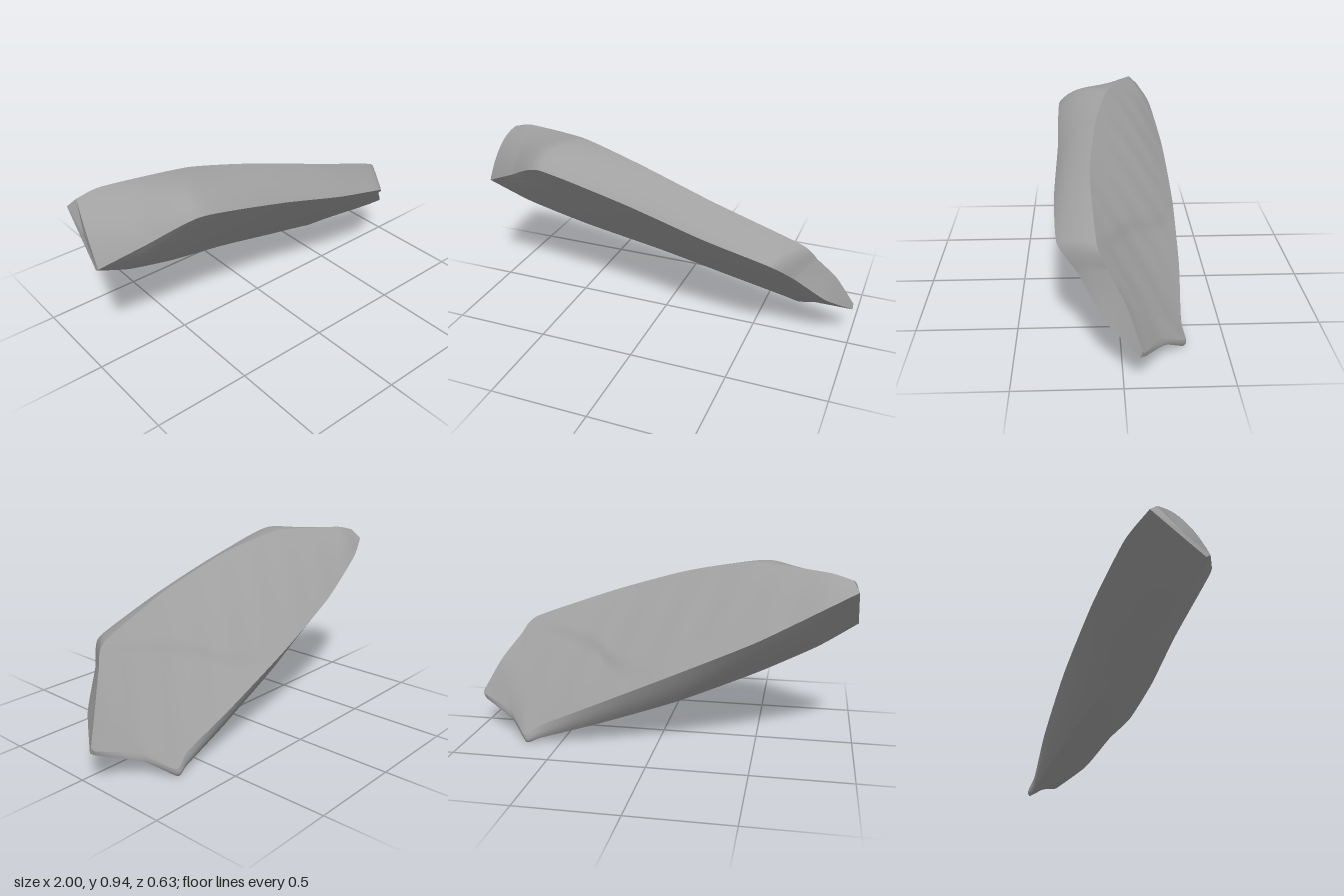
import * as THREE from 'three';
import { ParametricGeometry } from 'three/addons/geometries/ParametricGeometry.js';

// Long edges of the stone shard, each running from the -x end to the +x end.
const rail = (...pts) =>
  new THREE.CatmullRomCurve3(pts.map(p => new THREE.Vector3(...p)), false, 'catmullrom', 0.3);

const frontEdge = rail([-1, .645, .1], [-.8, .745, .2], [-.57, .845, .3], [-.1, .735, .3], [.3, .625, .31],
  [.63, .535, .29], [.735, .435, .195], [.88, .285, .085], [1, .165, -.07]);
const shoulder = rail([-.985, .81, -.01], [-.81, .85, .08], [-.55, .922, .185], [-.1, .815, .215], [.3, .69, .24],
  [.675, .57, .21], [.775, .465, .135], [.89, .33, .04], [1, .18, -.075]);
const ridge = rail([-.95, .89, -.125], [-.83, .92, -.1], [-.45, .94, .03], [-.1, .87, .1], [.3, .745, .135],
  [.74, .585, .11], [.82, .49, .06], [.91, .365, -.015], [1, .195, -.08]);
const backEdge = rail([-.98, .84, -.17], [-.82, .765, -.235], [-.5, .6, -.29], [-.1, .42, -.315], [.3, .24, -.312],
  [.6, .1, -.292], [.69, .045, -.303], [.81, .13, -.18], [.99, .18, -.09]);
const bottomEdge = rail([-1, .63, .08], [-.8, .515, .02], [-.5, .385, -.07], [-.1, .24, -.185], [.3, .115, -.25],
  [.6, .03, -.288], [.68, .005, -.3], [.79, .085, -.2], [.98, .155, -.09]);

// Straight span between two edges, displaced by a rule that fades out at its borders.
const span = (a, b, push, dir) => (u, v, out) => {
  out.copy(a.getPoint(u)).lerp(b.getPoint(u), v);
  const fade = Math.sin(Math.PI * v) * Math.min(1, 6 * u, 6 * (1 - u));
  return out.addScaledVector(dir, fade * push(u, v, out));
};

// Rounded span passing through a middle edge.
const arched = (a, m, b) => (u, v, out) =>
  out.set(0, 0, 0)
    .addScaledVector(a.getPoint(u), (1 - v) * (1 - 2 * v))
    .addScaledVector(m.getPoint(u), 4 * v * (1 - v))
    .addScaledVector(b.getPoint(u), v * (2 * v - 1));

const topDir = new THREE.Vector3(.15, .7, -.7).normalize();
const frontDir = new THREE.Vector3(-.2, -.75, .65).normalize();
const underDir = new THREE.Vector3(-.3, -.5, -.8).normalize();

// Shallow step across the back face, from the end of the ridge to the middle of the back edge
const creaseStep = (u, v) => -.012 * THREE.MathUtils.smoothstep(u - (.62 - .22 * v), -.01, .02);

const faces = {
  topStrip: arched(frontEdge, shoulder, ridge),
  // Nearly flat, with faint diagonal fracture ripples
  rippledBackFace: span(ridge, backEdge,
    (u, v, p) => .01 + .002 * Math.sin(26 * (p.x + .6 * p.z)) + creaseStep(u, v), topDir),
  undersideFace: span(backEdge, bottomEdge, () => .008, underDir),
  // Almost flat, with a fine rough grain
  roughFrontFace: span(bottomEdge, frontEdge,
    (u, v, p) => .01 + .001 * Math.sin(71 * p.x + 3 * Math.sin(47 * p.y)) * Math.sin(83 * p.y + 29 * p.x), frontDir),
};

// Closes one end with a fan around the rim of all four faces.
function endCap(u) {
  const rim = [], steps = 8;
  for (const face of Object.values(faces)) {
    for (let i = 0; i < steps; i++) rim.push(face(u, i / steps, new THREE.Vector3()));
  }
  const centre = rim.reduce((s, p) => s.add(p), new THREE.Vector3()).divideScalar(rim.length);
  const pts = [];
  rim.forEach((p, i) => {
    const q = rim[(i + 1) % rim.length];
    pts.push(centre, ...(u === 0 ? [p, q] : [q, p]));
  });
  const geo = new THREE.BufferGeometry().setFromPoints(pts);
  geo.computeVertexNormals();
  return geo;
}

export function createModel() {
  const group = new THREE.Group();
  group.name = 'stoneShard';
  const material = new THREE.MeshStandardMaterial({ color: 0xa0a0a0, side: THREE.DoubleSide });
  const add = (name, geo) => {
    const mesh = new THREE.Mesh(geo, material);
    mesh.name = name;
    group.add(mesh);
  };
  for (const [name, face] of Object.entries(faces)) {
    const geo = new ParametricGeometry(face, 120, 32);
    geo.computeVertexNormals();
    add(name, geo);
  }
  add('brokenEnd', endCap(0));
  add('pointedEnd', endCap(1));
  return group;
}
